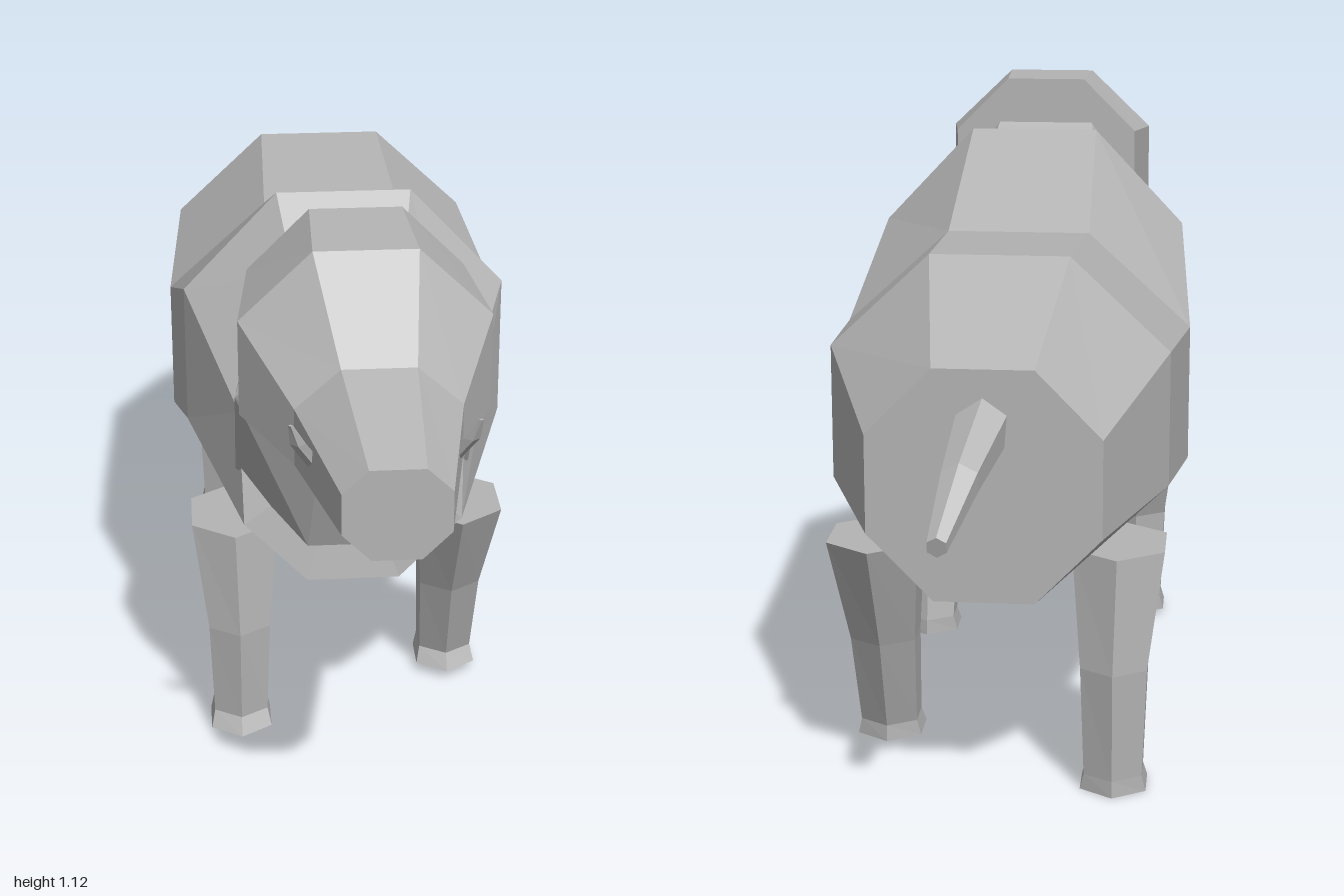
import * as THREE from 'three';

const hide = new THREE.MeshStandardMaterial({ color: 0xb4b4b4 });
hide.name = 'grey hide';

// Faceted skin over a list of equal-length rings, closed at both ends
function loft(name, rings) {
  const pos = [];
  const tri = (a, b, c) => pos.push(...a, ...b, ...c);
  const n = rings[0].length;
  const middle = (ring) => [0, 1, 2].map((k) => ring.reduce((s, p) => s + p[k], 0) / n);
  const first = rings[0], last = rings[rings.length - 1];
  const c0 = middle(first), c1 = middle(last);
  for (let j = 0; j < n; j++) {
    const k = (j + 1) % n;
    for (let i = 0; i < rings.length - 1; i++) {
      const r = rings[i], s = rings[i + 1];
      tri(r[j], r[k], s[j]);
      tri(r[k], s[k], s[j]);
    }
    tri(c0, first[k], first[j]);
    tri(c1, last[j], last[k]);
  }
  const geo = new THREE.BufferGeometry();
  geo.setAttribute('position', new THREE.Float32BufferAttribute(pos, 3));
  geo.computeVertexNormals();
  const mesh = new THREE.Mesh(geo, hide);
  mesh.name = name;
  return mesh;
}

// Mirrored octagon from four [halfWidth, y, z] points, top to bottom
function octagon(half, cx = 0) {
  const right = half.map(([x, y, z]) => [cx + x, y, z]);
  const left = half.map(([x, y, z]) => [cx - x, y, z]).reverse();
  return [...right, ...left];
}

// Upright octagon: heights of top, upper side, lower side, bottom
function section(z, ys, wTop, wSide, wBottom, cx = 0) {
  const ws = [wTop, wSide, wSide, wBottom];
  return octagon(ys.map((y, i) => [ws[i], y, z]), cx);
}

// Level ring with a corner pointing forwards
function levelRing(cx, y, cz, rx, rz, sides = 6) {
  return Array.from({ length: sides }, (_, i) => {
    const t = Math.PI / 2 + (i * 2 * Math.PI) / sides;
    const w = sides === 6 ? rx / 0.866 : rx;
    return [cx + w * Math.cos(t), y, cz + rz * Math.sin(t)];
  });
}

// Leg from [kneeZ, ankleZ], starting at topZ, with a small flared foot
function leg(name, side, topZ, kneeZ, ankleZ, floor) {
  const x = side * 0.21;
  return loft(name, [
    levelRing(side * 0.215, 0.435, topZ, 0.08, 0.11),
    levelRing(x, 0.23, kneeZ, 0.058, 0.075),
    levelRing(x, floor + 0.03, ankleZ, 0.051, 0.062),
    levelRing(x, floor, ankleZ + 0.01, 0.058, 0.074),
  ]);
}

export function createModel() {
  const model = new THREE.Group();
  model.name = 'animal';

  // Barrel body, chest to rump
  model.add(loft('body', [
    octagon([[0.1, 0.94, 0.28], [0.205, 0.71, 0.37], [0.2, 0.5, 0.41], [0.085, 0.38, 0.41]]),
    section(0.16, [1.05, 0.865, 0.6, 0.41], 0.123, 0.297, 0.135),
    section(-0.18, [0.905, 0.73, 0.475, 0.3], 0.132, 0.323, 0.135),
    section(-0.53, [0.93, 0.765, 0.525, 0.365], 0.122, 0.297, 0.125),
    section(-0.8, [0.795, 0.68, 0.51, 0.395], 0.085, 0.197, 0.085),
  ]));

  // Neck, from inside the head down to the chest
  model.add(loft('neck', [
    octagon([[0.09, 1.04, 0.45], [0.17, 0.96, 0.48], [0.15, 0.86, 0.53], [0.07, 0.79, 0.54]]),
    octagon([[0.1, 1.02, 0.42], [0.18, 0.91, 0.44], [0.215, 0.8, 0.5], [0.07, 0.66, 0.505]]),
    octagon([[0.1, 0.94, 0.28], [0.205, 0.74, 0.33], [0.213, 0.6, 0.375], [0.085, 0.46, 0.425]]),
  ]));

  // Head, snout tip to back of skull
  model.add(loft('head', [
    section(1, [0.905, 0.865, 0.795, 0.748], 0.045, 0.087, 0.04, 0.02),
    section(0.765, [0.968, 0.9, 0.8, 0.73], 0.062, 0.138, 0.065, 0.012),
    section(0.62, [1.115, 0.995, 0.825, 0.708], 0.088, 0.213, 0.083, 0.002),
    section(0.43, [1.118, 1.01, 0.865, 0.8], 0.08, 0.188, 0.08),
  ]));

  // Tusks beside the snout
  for (const s of [-1, 1]) {
    model.add(loft(s > 0 ? 'leftTusk' : 'rightTusk', [
      levelRing(0.012 + s * 0.15, 0.93, 0.885, 0.004, 0.004, 4),
      levelRing(0.012 + s * 0.138, 0.89, 0.87, 0.013, 0.01, 4),
      levelRing(0.012 + s * 0.105, 0.83, 0.835, 0.014, 0.012, 4),
    ]));
  }

  // Tail, bending down and sideways to its tip
  const tailPath = [[0, 0.7, -0.78, 0.05], [0.025, 0.638, -0.91, 0.034], [0.052, 0.555, -0.995, 0.018]];
  model.add(loft('tail', tailPath.map(([x, y, z, r]) =>
    Array.from({ length: 6 }, (_, i) => {
      const t = (i * Math.PI) / 3;
      return [x + r * Math.sin(t), y + r * Math.cos(t), z - 0.3 * r * Math.cos(t)];
    }))));

  // Legs in mid stride
  model.add(leg('frontLeftLeg', 1, 0.21, 0.14, 0.09, 0.02));
  model.add(leg('frontRightLeg', -1, 0.23, 0.28, 0.28, 0.01));
  model.add(leg('rearLeftLeg', 1, -0.575, -0.515, -0.46, 0.02));
  model.add(leg('rearRightLeg', -1, -0.575, -0.625, -0.625, 0));

  return model;
}
